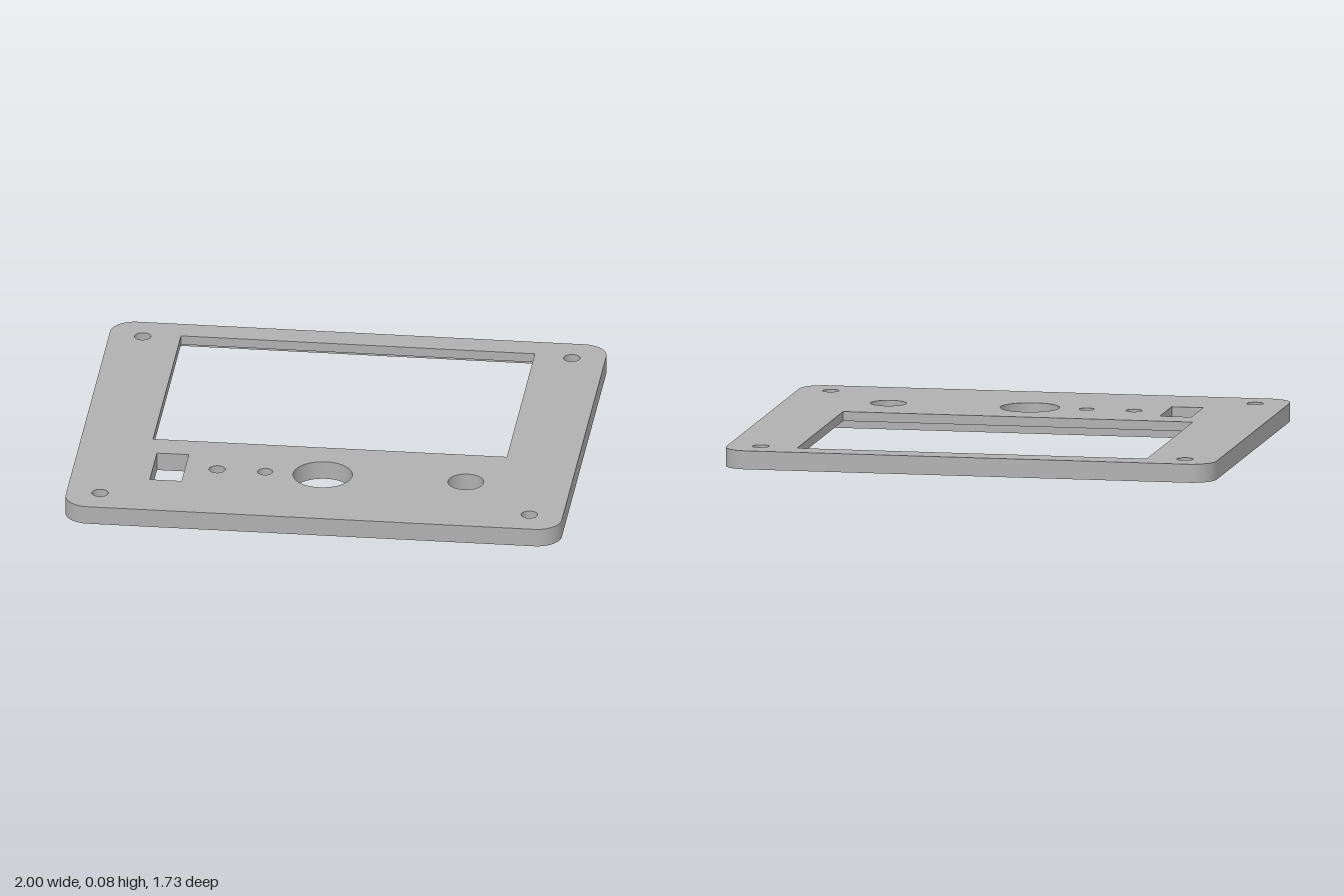
import * as THREE from 'three';
import { toCreasedNormals, mergeGeometries } from 'three/addons/utils/BufferGeometryUtils.js';

const H = 0.075;       // panel thickness
const LEDGE = 0.037;   // depth of the recess under the window
const SEGMENTS = 20;

// Outlines are drawn in plan, with shape y = -z.
function rect(x0, x1, z0, z1) {
  return new THREE.Shape([[x0, -z1], [x1, -z1], [x1, -z0], [x0, -z0]].map(p => new THREE.Vector2(...p)));
}

function circle(x, z, r) {
  return new THREE.Shape().absarc(x, -z, r, 0, Math.PI * 2, false);
}

function roundedRect(w, d, r) {
  const s = new THREE.Shape(), x = w - r, y = d - r, q = Math.PI / 2;
  s.absarc(x, y, r, 0, q, false);
  s.absarc(-x, y, r, q, 2 * q, false);
  s.absarc(-x, -y, r, 2 * q, 3 * q, false);
  s.absarc(x, -y, r, 3 * q, 4 * q, false);
  s.closePath();
  return s;
}

// Flat face with openings, facing up or down
function face(outline, holes, y, up) {
  const shape = outline.clone();
  shape.holes = holes;
  const g = new THREE.ShapeGeometry(shape, SEGMENTS).rotateX(-Math.PI / 2).translate(0, y, 0);
  if (!up) {
    g.setIndex(Array.from(g.index.array).reverse());
    g.computeVertexNormals();
  }
  return g;
}

// Upright wall along an outline, facing out of it or into the opening
function wall(outline, y0, y1, inward) {
  const pts = outline.getPoints(SEGMENTS);
  if (THREE.ShapeUtils.isClockWise(pts) !== inward) pts.reverse();
  const pos = [];
  pts.forEach((a, i) => {
    const b = pts[(i + 1) % pts.length];
    if (a.distanceTo(b) < 1e-5) return;
    pos.push(a.x, y0, -a.y, b.x, y0, -b.y, b.x, y1, -b.y);
    pos.push(a.x, y0, -a.y, b.x, y1, -b.y, a.x, y1, -a.y);
  });
  const g = new THREE.BufferGeometry();
  g.setAttribute('position', new THREE.Float32BufferAttribute(pos, 3));
  return toCreasedNormals(g, Math.PI / 5);
}

export function createModel() {
  const group = new THREE.Group();
  group.name = 'instrumentPanel';
  const grey = new THREE.MeshStandardMaterial({ color: 0xb0b0b0 });
  grey.name = 'panel grey';

  const add = (name, ...parts) => {
    const mesh = new THREE.Mesh(parts.length > 1 ? mergeGeometries(parts) : parts[0], grey);
    mesh.name = name;
    group.add(mesh);
  };

  const plate = roundedRect(1, 0.864, 0.1);
  const windowOpening = rect(-0.713, 0.713, -0.754, 0.209);
  const recess = rect(-0.82, 0.82, -0.818, 0.262);

  // Openings that pass straight through the panel
  const openings = {
    switchSlot: rect(-0.682, -0.554, 0.337, 0.583),
    largeLampHole: circle(-0.425, 0.458, 0.033),
    smallLampHole: circle(-0.232, 0.458, 0.03),
    dialHole: circle(0, 0.458, 0.119),
    buttonHole: circle(0.577, 0.458, 0.072),
  };
  for (const [side, x] of [['Left', 0.865], ['Right', -0.865]]) {
    openings['screwHoleBack' + side] = circle(x, -0.732, 0.033);
    openings['screwHoleFront' + side] = circle(x, 0.73, 0.033);
  }
  const holes = Object.values(openings);

  // Panel faces and rim
  add('topFace', face(plate, [windowOpening, ...holes], H, true));
  add('bottomFace', face(plate, [recess, ...holes], 0, false));
  add('rim', wall(plate, 0, H, false));

  // Window and the stepped recess below it
  add('windowEdge', wall(windowOpening, LEDGE, H, true));
  add('recessLedge', face(recess, [windowOpening], LEDGE, false));
  add('recessEdge', wall(recess, 0, LEDGE, true));

  // Linings of the through openings
  for (const [name, shape] of Object.entries(openings)) add(name, wall(shape, 0, H, true));

  return group;
}
